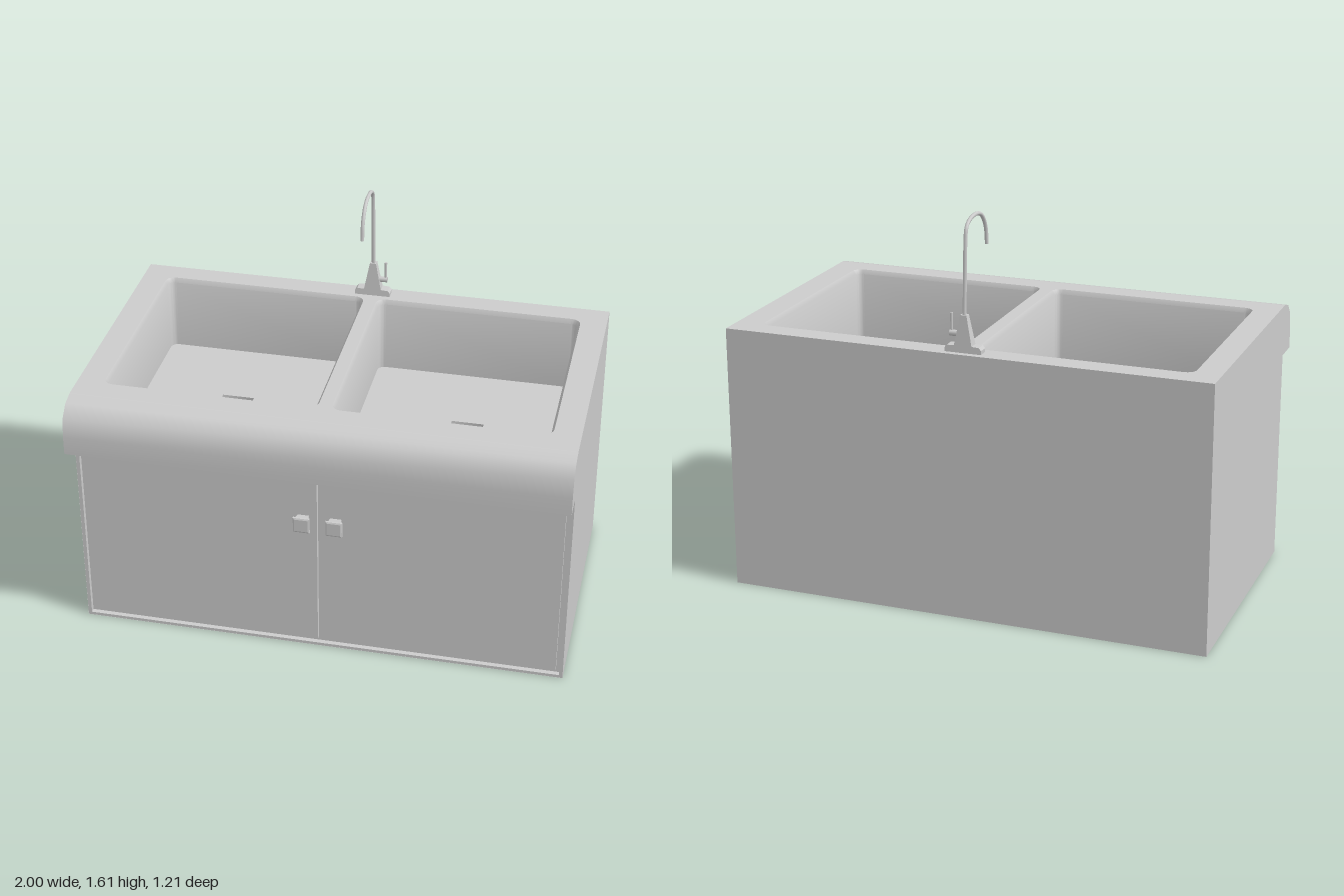
import * as THREE from 'three';
import { toCreasedNormals } from 'three/addons/utils/BufferGeometryUtils.js';

const grey = new THREE.MeshStandardMaterial({ color: 0xcccccc, side: THREE.DoubleSide });
const TOP = 1.095, BACK = -0.605, FRONT = 0.485, FLOOR = 0.77, SEG = 4;

// Side profile of the rounded counter lip as [z, y], from the worktop down and under
const lipProfile = [[0.49, TOP], [0.55, 1.08], [0.594, 1.034], [0.605, 0.957], [0.605, 0.88], [FRONT, 0.88]];

function part(parent, name, geometry, x = 0, y = 0, z = 0) {
  const mesh = new THREE.Mesh(geometry, grey);
  mesh.name = name;
  mesh.position.set(x, y, z);
  parent.add(mesh);
  return mesh;
}

// Full-width sheet following a [z, y] profile
function sheet(profile) {
  const geo = new THREE.PlaneGeometry(2, 1, 1, profile.length - 1);
  const pos = geo.attributes.position;
  for (let i = 0; i < pos.count; i++) {
    const [z, y] = profile[Math.floor(i / 2)];
    pos.setXYZ(i, pos.getX(i), y, z);
  }
  return toCreasedNormals(geo, 0.7);
}

// Rounded rectangle in plan, drawn with y = -z
function roundedRect([x0, x1, z0, z1], r, inset = 0) {
  const l = x0 + inset + r, rt = x1 - inset - r, b = -z1 + inset + r, t = -z0 - inset - r;
  const s = new THREE.Shape();
  s.absarc(rt, t, r, 0, Math.PI / 2);
  s.absarc(l, t, r, Math.PI / 2, Math.PI);
  s.absarc(l, b, r, Math.PI, Math.PI * 1.5);
  s.absarc(rt, b, r, Math.PI * 1.5, Math.PI * 2);
  return s;
}

function flat(shape) {
  return new THREE.ShapeGeometry(shape, SEG).rotateX(-Math.PI / 2);
}

// Inward-facing walls joining plan outlines at falling levels: [shape, y]
function walls(rings) {
  const outlines = rings.map(([shape]) => shape.getPoints(SEG));
  const n = outlines[0].length, pos = [], idx = [];
  rings.forEach(([, y], i) => outlines[i].forEach((p) => pos.push(p.x, y, -p.y)));
  for (let i = 0; i < rings.length - 1; i++) {
    for (let j = 0; j < n; j++) {
      const a = i * n + j, b = i * n + (j + 1) % n;
      idx.push(a, b, a + n, b, b + n, a + n);
    }
  }
  const geo = new THREE.BufferGeometry();
  geo.setAttribute('position', new THREE.Float32BufferAttribute(pos, 3));
  geo.setIndex(idx);
  return toCreasedNormals(geo, 0.6);
}

function rect(Type, x0, y0, x1, y1) {
  return new Type([[x0, y0], [x1, y0], [x1, y1], [x0, y1]].map((p) => new THREE.Vector2(...p)));
}

function addBasin(parent, bounds, drainX) {
  const basin = new THREE.Group();
  basin.name = 'basin';
  parent.add(basin);
  const rim = roundedRect(bounds, 0.04), inner = roundedRect(bounds, 0.03, 0.011);
  const drain = roundedRect([drainX - 0.067, drainX + 0.067, -0.13, 0.022], 0.001);
  const floor = inner.clone();
  floor.holes.push(drain);
  part(basin, 'basinWalls', walls([[rim, TOP], [inner, TOP - 0.018], [inner, FLOOR]]));
  part(basin, 'basinFloor', flat(floor), 0, FLOOR);
  part(basin, 'drainWalls', walls([[drain, FLOOR], [drain, FLOOR - 0.02]]));
  part(basin, 'drainBottom', flat(drain), 0, FLOOR - 0.02);
  return rim;
}

function addFaucet(parent) {
  const faucet = new THREE.Group();
  faucet.name = 'faucet';
  faucet.position.set(0, TOP, -0.557);
  parent.add(faucet);

  // Flared foot and tapering body, thinner towards the top
  const half = [[0.075, 0], [0.075, 0.015], [0.066, 0.026], [0.036, 0.028], [0.013, 0.147]];
  const outline = [...half, ...half.map(([x, y]) => [-x, y]).reverse()];
  const body = new THREE.ExtrudeGeometry(new THREE.Shape(outline.map((p) => new THREE.Vector2(...p))),
    { depth: 1, bevelEnabled: false });
  const pos = body.attributes.position;
  for (let i = 0; i < pos.count; i++) {
    const width = 0.046 - 0.02 * pos.getY(i) / 0.147;
    pos.setZ(i, (pos.getZ(i) - 0.5) * width);
  }
  body.computeVertexNormals();
  part(faucet, 'faucetBody', body);

  // Gooseneck spout, points as [y, z] relative to the foot
  const path = [[0.14, 0], [0.3, 0.009], [0.44, 0.017], [0.48, 0.027], [0.503, 0.06], [0.511, 0.125],
    [0.499, 0.175], [0.47, 0.208], [0.43, 0.229], [0.368, 0.238]];
  const curve = new THREE.CatmullRomCurve3(path.map(([y, z]) => new THREE.Vector3(0, y, z)));
  part(faucet, 'spout', new THREE.TubeGeometry(curve, 40, 0.008, 8));
  part(faucet, 'spoutEnd', new THREE.CircleGeometry(0.008, 8).rotateX(Math.PI / 2), 0, 0.368, 0.238);

  // Side lever
  part(faucet, 'leverHub', new THREE.CylinderGeometry(0.012, 0.012, 0.045, 10).rotateZ(Math.PI / 2), 0.038, 0.07);
  part(faucet, 'lever', new THREE.CylinderGeometry(0.006, 0.005, 0.085, 8), 0.053, 0.108);
}

export function createModel() {
  const model = new THREE.Group();
  model.name = 'kitchenSink';

  // Worktop with two basins
  const worktop = rect(THREE.Shape, -1, -0.49, 1, -BACK);
  worktop.holes.push(
    addBasin(model, [-0.895, -0.027, -0.51, 0.396], -0.49),
    addBasin(model, [0.027, 0.892, -0.51, 0.396], 0.487));
  part(model, 'worktop', flat(worktop), 0, TOP);
  part(model, 'counterLip', sheet(lipProfile));

  // Cabinet back, bottom and sides
  part(model, 'backAndBottom', sheet([[FRONT, 0], [BACK, 0], [BACK, TOP]]));
  const sideProfile = [...lipProfile, [FRONT, 0], [BACK, 0], [BACK, TOP]];
  for (const s of [-1, 1]) {
    const shape = new THREE.Shape(sideProfile.map(([z, y]) => new THREE.Vector2(-s * z, y)));
    part(model, 'sidePanel', new THREE.ShapeGeometry(shape).rotateY(s * Math.PI / 2), s);
  }

  // Front frame with a narrow groove around two flush doors
  const frame = rect(THREE.Shape, -0.9995, 0.0005, 0.9995, 0.8795);
  frame.holes.push(rect(THREE.Path, -0.985, 0.013, 0.985, 0.876));
  part(model, 'frontFrame', new THREE.ExtrudeGeometry(frame, { depth: 0.02, bevelEnabled: false }), 0, 0, FRONT - 0.02);
  part(model, 'grooveBack', new THREE.PlaneGeometry(1.98, 0.87), 0, 0.443, FRONT - 0.02);

  // Square knob flaring outwards: [half width, distance from door]
  const knobProfile = [[0.022, 0], [0.026, 0.025], [0.034, 0.036], [0.033, 0.043], [0.027, 0.046], [0, 0.046]];
  const knob = toCreasedNormals(new THREE.LatheGeometry(
    knobProfile.map(([w, d]) => new THREE.Vector2(w * Math.SQRT2, d)), 4, Math.PI / 4)
    .rotateX(Math.PI / 2), 0.3);
  for (const s of [-1, 1]) {
    part(model, 'door', new THREE.BoxGeometry(0.959, 0.832, 0.02), s * 0.4905, 0.449, FRONT - 0.01);
    part(model, 'doorKnob', knob, s * 0.066, 0.622, FRONT);
  }

  addFaucet(model);
  return model;
}
